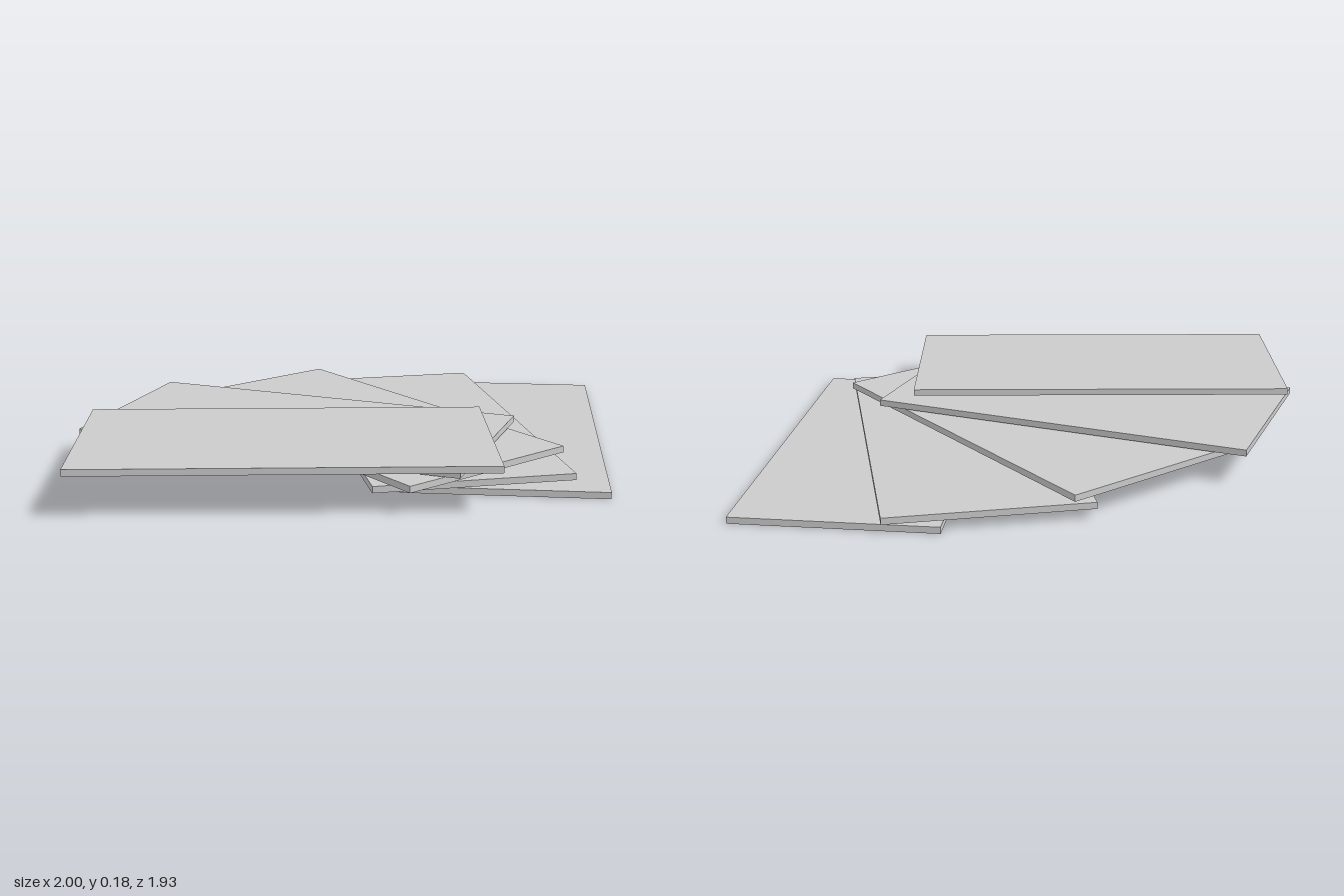
import * as THREE from 'three';

// Shared panel size
const LENGTH = 1.512, WIDTH = 0.757, THICKNESS = 0.025;

// Each panel, bottom to top: centre x, underside y, centre z, heading of its long side in degrees (from +x towards +z)
const PANELS = [
  [0.62, 0, -0.182, 90],
  [0.298, 0.037, -0.135, 73.3],
  [0.042, 0.082, 0.007, 46.2],
  [-0.171, 0.113, 0.174, 15],
  [-0.184, 0.153, 0.495, -6.9],
];

export function createModel() {
  const group = new THREE.Group();
  group.name = 'fannedPanels';
  const material = new THREE.MeshStandardMaterial({ color: 0xcccccc, flatShading: true });
  const geometry = new THREE.BoxGeometry(LENGTH, THICKNESS, WIDTH);

  // Fan of thin flat panels, each hovering just above the last
  PANELS.forEach(([x, y, z, heading], i) => {
    const panel = new THREE.Mesh(geometry, material);
    panel.name = `panel${i + 1}`;
    panel.position.set(x, y + THICKNESS / 2, z);
    panel.rotation.y = -THREE.MathUtils.degToRad(heading);
    group.add(panel);
  });
  return group;
}
